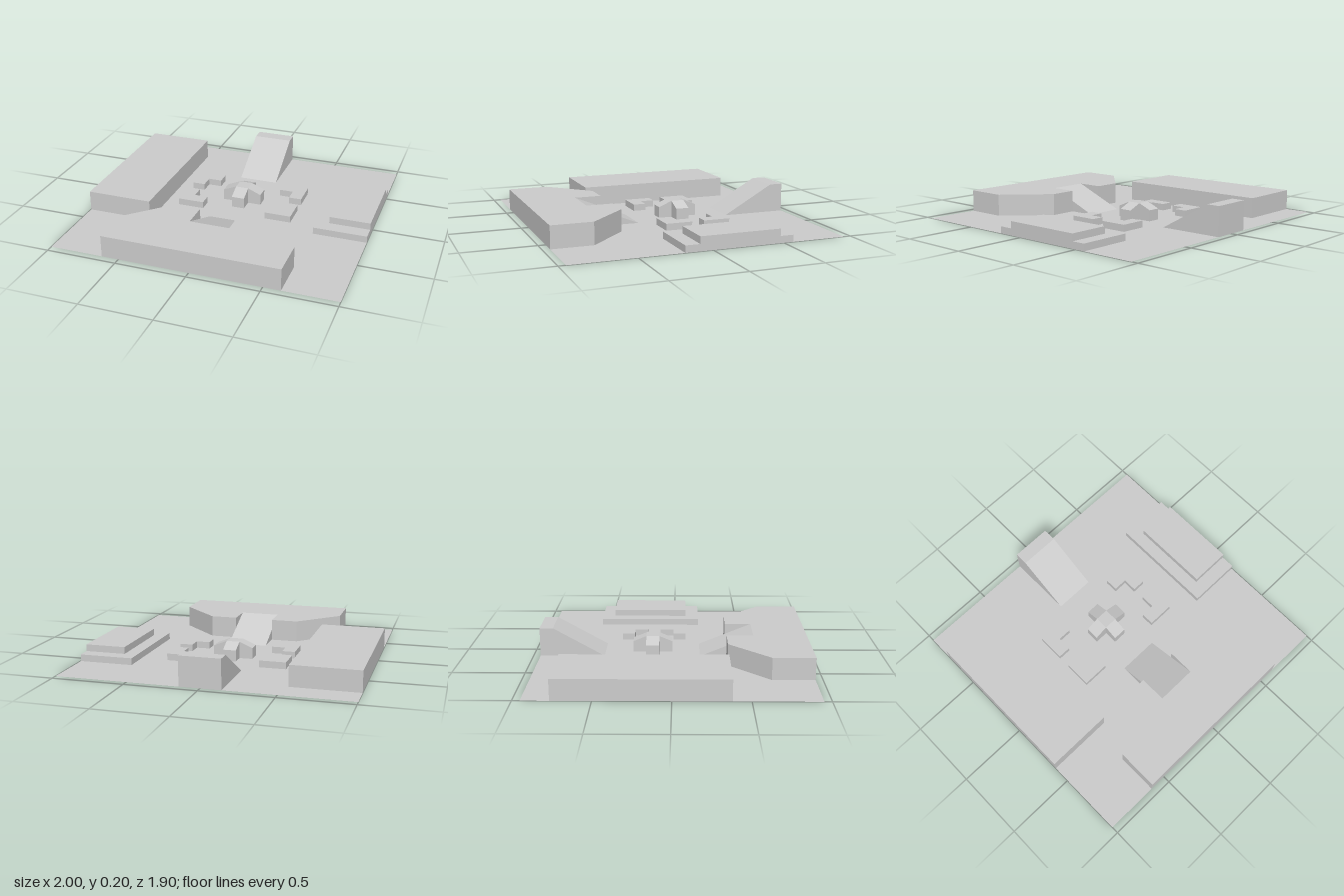
import * as THREE from 'three';

const material = new THREE.MeshStandardMaterial({ color: 0xcccccc, flatShading: true, side: THREE.DoubleSide });
const H = (v) => (typeof v === 'function' ? v : () => v);

// Upward facing sheet over a [x, z] outline, with y given by a number or rule
function sheet(outline, height, holes = []) {
  const y = H(height);
  const toV = (l) => l.map(([x, z]) => new THREE.Vector2(x, z));
  const all = [outline, ...holes].flat();
  const pos = [];
  for (const [a, b, c] of THREE.ShapeUtils.triangulateShape(toV(outline), holes.map(toV))) {
    const [p, q, r] = [all[a], all[b], all[c]];
    const area = (q[0] - p[0]) * (r[1] - p[1]) - (q[1] - p[1]) * (r[0] - p[0]);
    for (const [x, z] of area > 0 ? [p, r, q] : [p, q, r]) pos.push(x, y(x, z), z);
  }
  return pos;
}

// Upright walls along a [x, z] path; outside is to the right of the direction of travel
function walls(path, top, bottom = 0) {
  const t = H(top), b = H(bottom), pos = [];
  for (let i = 0; i < path.length - 1; i++) {
    const [x0, z0] = path[i], [x1, z1] = path[i + 1];
    const a = [x0, b(x0, z0), z0], c = [x1, b(x1, z1), z1];
    const d = [x1, t(x1, z1), z1], e = [x0, t(x0, z0), z0];
    pos.push(...a, ...c, ...d, ...a, ...d, ...e);
  }
  return pos;
}

function part(name, ...pieces) {
  const g = new THREE.BufferGeometry();
  g.setAttribute('position', new THREE.Float32BufferAttribute(pieces.flat(), 3));
  g.computeVertexNormals();
  const mesh = new THREE.Mesh(g, material);
  mesh.name = name;
  return mesh;
}

const close = (loop) => [...loop, loop[0]];
// Rectangle ordered front, right, back, left
const rect = (x0, x1, z0, z1) => [[x0, z1], [x1, z1], [x1, z0], [x0, z0]];
// Open-bottomed block
const block = (name, loop, top, bottom = 0) => part(name, sheet(loop, top), walls(close(loop), top, bottom));

export function createModel() {
  const group = new THREE.Group();
  const E = 0.95, W = 0.142, CZ = -0.147;

  // Corner benches: L-shaped loops mirrored around the centre
  const benchLoops = [];
  for (const sx of [-1, 1]) for (const sz of [-1, 1]) {
    const loop = [[0.237, 0.237], [0.237, 0.145], [0.335, 0.145], [0.335, 0.045], [0.427, 0.045], [0.427, 0.237]]
      .map(([x, z]) => [sx * x, CZ + sz * z]);
    benchLoops.push(sx * sz > 0 ? loop.reverse() : loop);
  }

  // Central cross outline
  const a = 0.047, r = 0.142;
  const cross = [[-a, r], [a, r], [a, a], [r, a], [r, -a], [a, -a], [a, -r], [-a, -r], [-a, -a], [-r, -a], [-r, a], [-a, a]]
    .map(([x, z]) => [x, CZ + z]);

  // Ground, stepping around parts at its border and open beneath the rest
  group.add(part('ground', sheet([
    [-1, -E], [-W, -E], [-W, -0.49], [W, -0.49], [W, -E], [1, -E],
    [1, -0.57], [0.62, -0.57], [0.62, 0.19], [1, 0.19], [1, E],
    [0.62, E], [0.62, 0.66], [0.335, 0.38], [W, 0.38], [W, 0.19],
    [-W, 0.19], [-W, 0.38], [-0.335, 0.38], [-0.62, 0.66], [-0.62, E],
    [-1, E], [-1, 0.38], [-0.53, 0.38], [-0.53, -0.765], [-1, -0.765],
  ], 0, [...benchLoops, cross])));

  // Long raised block on the right
  group.add(block('sideBlock', rect(-1, -0.53, -0.765, 0.38), 0.145));

  // Front terrace with a notch for its ramp
  const top = 0.155;
  const slope = (x, z) => top * (z - 0.19) / 0.38;
  const rim = [[-W, 0.38], [-0.335, 0.38], [-0.62, 0.66], [-0.62, E], [0.62, E], [0.62, 0.66], [0.335, 0.38], [W, 0.38]];
  group.add(part('frontTerrace',
    sheet([...rim, [W, 0.57], [-W, 0.57]], top),
    walls(rim, top),
    walls([[W, 0.38], [W, 0.57]], top, slope),
    walls([[-W, 0.57], [-W, 0.38]], top, slope)));
  group.add(part('frontRamp',
    sheet(rect(-W, W, 0.19, 0.57), slope),
    walls([[W, 0.38], [W, 0.19]], slope),
    walls([[-W, 0.19], [-W, 0.38]], slope)));

  // Back ramp rising to a flat landing
  const rise = (x, z) => 0.205 * Math.min(1, (-0.49 - z) / 0.365);
  group.add(part('backRamp',
    sheet(rect(-W, W, -0.855, -0.49), rise),
    sheet(rect(-W, W, -E, -0.855), 0.205),
    walls([[W, -0.49], [W, -0.855], [W, -E], [-W, -E], [-W, -0.855], [-W, -0.49]], rise)));

  // Two-step platform on the left
  group.add(part('lowerStep',
    sheet([[1, -0.57], [0.62, -0.57], [0.62, 0.19], [1, 0.19], [1, 0.09], [0.71, 0.09], [0.71, -0.475], [1, -0.475]], 0.048),
    walls(close(rect(0.62, 1, -0.57, 0.19)), 0.048)));
  group.add(block('upperStep', rect(0.71, 1, -0.475, 0.09), 0.097, 0.048));

  // Benches
  benchLoops.forEach((loop) => group.add(block('cornerBench', loop, 0.048)));

  // Central cross: flat middle, arms sloping down outward
  const fall = (x, z) => 0.119 - 0.42 * (Math.max(Math.abs(x), Math.abs(z - CZ)) - a);
  group.add(part('centreCross',
    sheet(rect(-a, a, CZ - a, CZ + a), 0.119),
    sheet(rect(-a, a, CZ + a, CZ + r), fall),
    sheet(rect(-a, a, CZ - r, CZ - a), fall),
    sheet(rect(a, r, CZ - a, CZ + a), fall),
    sheet(rect(-r, -a, CZ - a, CZ + a), fall),
    walls(close(cross), fall)));

  return group;
}
